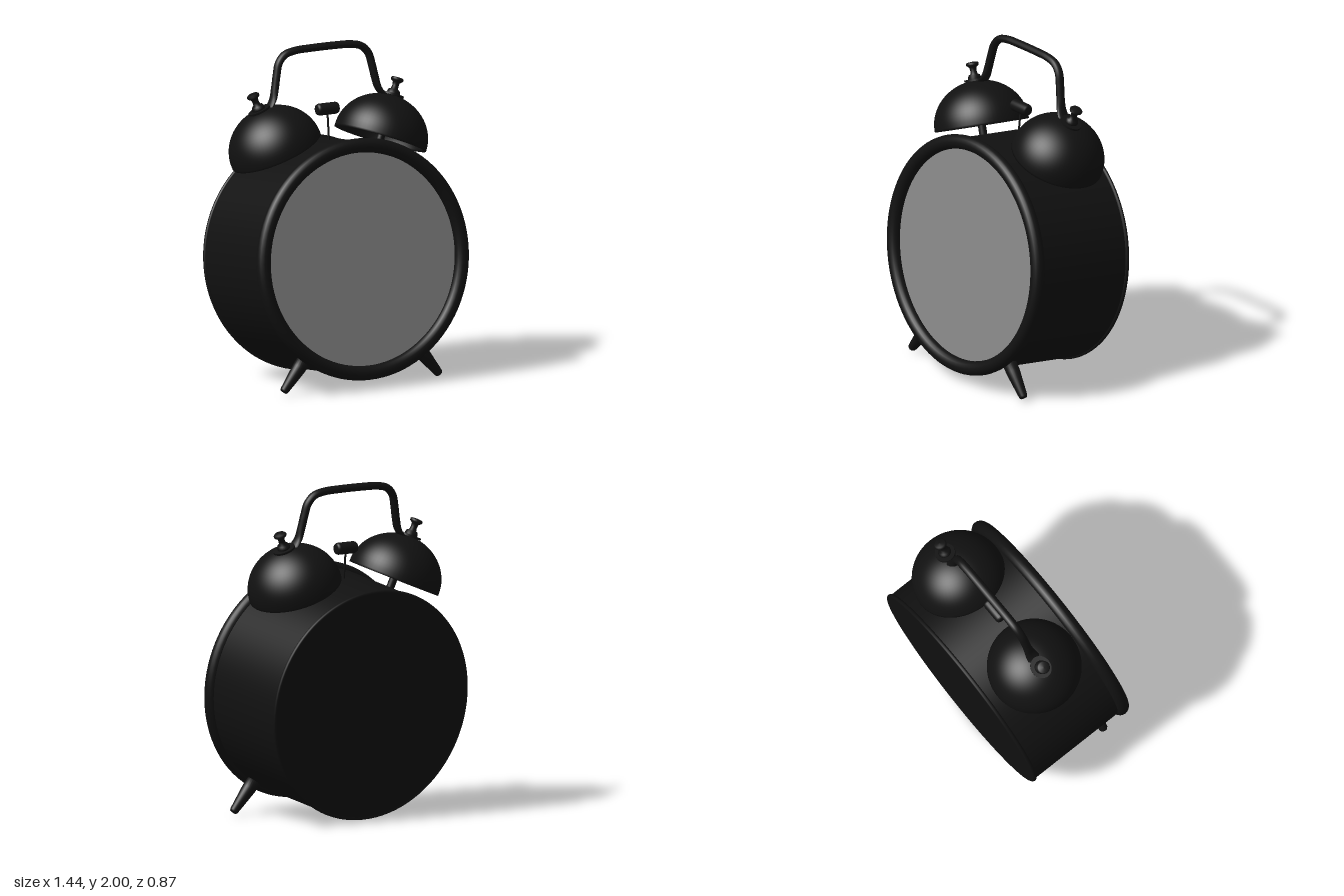
import * as THREE from 'three';

const black = new THREE.MeshStandardMaterial({ color: 0x111111, side: THREE.DoubleSide });
const dialGrey = new THREE.MeshStandardMaterial({ color: 0x888888 });
const MID = -0.333; // depth plane of the bells, hammer and handle

function add(parent, name, geometry, material = black) {
  const mesh = new THREE.Mesh(geometry, material);
  mesh.name = name;
  parent.add(mesh);
  return mesh;
}

// Lathe from [radius, height] pairs
const lathe = (pts, seg = 32) =>
  new THREE.LatheGeometry(pts.map(([r, y]) => new THREE.Vector2(r, y)), seg);

// Height above the dial centre, on the MID plane, for a height above the ground
const up = (y) => (y - 0.739) / 0.994;

function addCase(clock) {
  const shell = add(clock, 'caseShell', new THREE.CylinderGeometry(0.69, 0.69, 0.665, 96, 1, true));
  shell.rotation.x = Math.PI / 2;
  shell.position.z = -0.3425;

  add(clock, 'frontRim', new THREE.TorusGeometry(0.677, 0.043, 20, 96));

  const dial = add(clock, 'dial', new THREE.CircleGeometry(0.66, 96), dialGrey);
  dial.position.z = -0.011;

  // Back plate with a thin rolled lip
  const lip = add(clock, 'backLip', new THREE.TorusGeometry(0.688, 0.013, 10, 96));
  lip.position.z = -0.671;
  const back = add(clock, 'backPlate', new THREE.CircleGeometry(0.69, 96));
  back.rotation.y = Math.PI;
  back.position.z = -0.683;
}

function addBell(clock, s) {
  const bell = new THREE.Group();
  bell.name = s > 0 ? 'leftBell' : 'rightBell';
  bell.position.set(s * 0.36, 0.671, MID);
  bell.rotation.z = -s * 0.385;
  clock.add(bell);

  // Hollow dome: inner wall, rim, then outer wall
  const profile = [];
  const N = 20;
  for (let i = 0; i <= N; i++) {
    const a = (1 - i / N) * Math.PI / 2;
    profile.push([0.267 * Math.cos(a), 0.245 * Math.sin(a)]);
  }
  profile.push([0.267, -0.012], [0.282, -0.012]);
  for (let i = 0; i <= N; i++) {
    const a = (i / N) * Math.PI / 2;
    profile.push([0.282 * Math.cos(a), 0.258 * Math.sin(a)]);
  }
  add(bell, 'bellDome', lathe(profile, 64));

  const post = add(bell, 'bellPost', new THREE.CylinderGeometry(0.024, 0.024, 0.36, 20));
  post.position.y = 0.07;

  // Knurled-nut shape holding the handle foot
  add(bell, 'bellNut', lathe([
    [0, 0.25], [0.036, 0.25], [0.04, 0.272], [0.034, 0.29], [0.022, 0.296], [0.019, 0.315],
    [0.021, 0.335], [0.037, 0.348], [0.039, 0.358], [0.032, 0.366], [0, 0.369],
  ], 24));

  const foot = add(bell, 'handleFoot', new THREE.CylinderGeometry(0.06, 0.06, 0.012, 32));
  foot.position.y = 0.26;
  foot.scale.x = 1.15;
}

function addHandle(clock) {
  const half = [[0.46, 1.632], [0.4, 1.65], [0.362, 1.695], [0.343, 1.76], [0.326, 1.84],
    [0.306, 1.91], [0.262, 1.955], [0.19, 1.973], [0.1, 1.977]];
  const pts = [
    ...half.map(([x, y]) => new THREE.Vector3(-x, up(y), MID)),
    ...half.slice().reverse().map(([x, y]) => new THREE.Vector3(x, up(y), MID)),
  ];
  const path = new THREE.CatmullRomCurve3(pts);
  const rings = 120, sides = 16;
  const geo = new THREE.TubeGeometry(path, rings, 0.023, sides);

  // Flatten and widen the strap towards both feet
  const pos = geo.attributes.position;
  const v = new THREE.Vector3();
  for (let i = 0; i <= rings; i++) {
    const t = i / rings;
    const c = path.getPointAt(t);
    const k = THREE.MathUtils.smoothstep(Math.min(t, 1 - t), 0.02, 0.15);
    const thin = 0.4 + 0.6 * k;
    const wide = 1.9 - 0.75 * k;
    for (let j = 0; j <= sides; j++) {
      const n = i * (sides + 1) + j;
      v.fromBufferAttribute(pos, n).sub(c);
      pos.setXYZ(n, c.x + v.x * thin, c.y + v.y * thin, c.z + v.z * wide);
    }
  }
  geo.computeVertexNormals();
  add(clock, 'handle', geo);
}

function addHammer(clock) {
  const head = add(clock, 'hammerHead', lathe([
    [0, -0.072], [0.022, -0.072], [0.031, -0.068], [0.036, -0.056],
    [0.036, 0.056], [0.031, 0.068], [0.022, 0.072], [0, 0.072],
  ], 28));
  head.rotation.z = Math.PI / 2;
  head.position.set(0, up(1.61), -0.322);

  const stem = add(clock, 'hammerStem', new THREE.CylinderGeometry(0.006, 0.006, 0.2, 12));
  stem.position.set(0, 0.77, -0.322);
}

function addLeg(clock, s) {
  // Tapered peg, running outward from the case
  const leg = add(clock, s > 0 ? 'leftLeg' : 'rightLeg', lathe([
    [0, 0], [0.042, 0], [0.042, 0.06], [0.037, 0.11], [0.026, 0.222], [0.021, 0.232], [0, 0.234],
  ], 24));
  const from = new THREE.Vector3(s * 0.385, -0.565, -0.085);
  const to = new THREE.Vector3(s * 0.532, -0.742, -0.097);
  leg.position.copy(from);
  leg.quaternion.setFromUnitVectors(new THREE.Vector3(0, 1, 0), to.sub(from).normalize());
}

export function createModel() {
  const model = new THREE.Group();
  model.name = 'alarmClock';

  // Everything leans back together
  const clock = new THREE.Group();
  clock.name = 'leaningClock';
  clock.position.set(0, 0.775, 0.325);
  clock.rotation.x = -0.11;
  model.add(clock);

  addCase(clock);
  addHandle(clock);
  addHammer(clock);
  for (const s of [-1, 1]) {
    addBell(clock, s);
    addLeg(clock, s);
  }
  return model;
}
